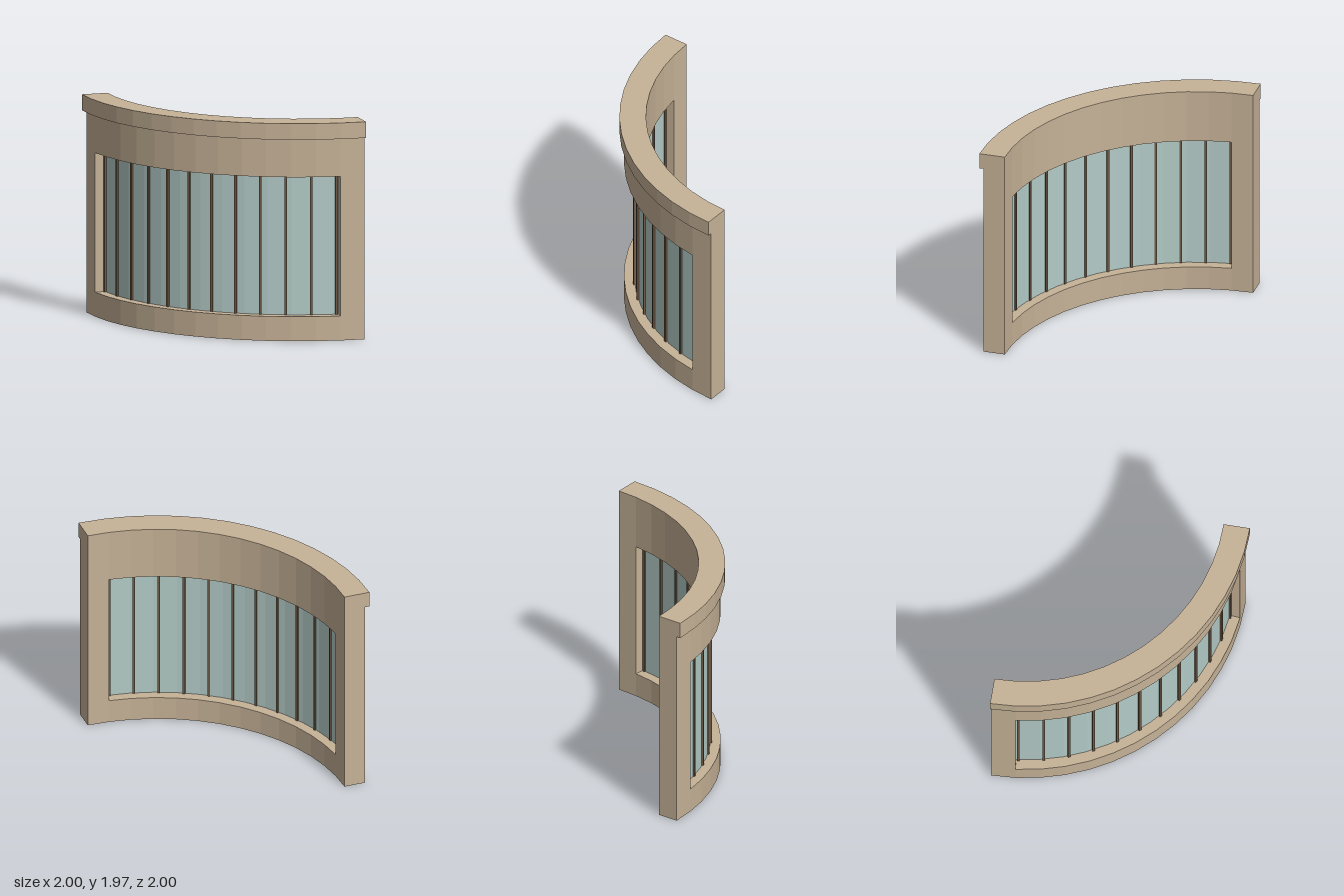
import * as THREE from 'three';

const SEGMENTS = 14;
const STEP = Math.PI / 2 / SEGMENTS;
const R_IN = 1.765, R_WALL = 1.96, R_CORNICE = 2.0, R_GLASS = 1.862;
const SILL = 0.22, HEAD = 1.475, WALL_TOP = 1.82, TOP = 1.965;

// Quarter circle about (1, -1), from the +x end round to the -z end
const point = ([r, y], i) => [
  1 - r * Math.sin(i * STEP), y, -1 + r * Math.cos(i * STEP),
];

const rect = (r0, r1, y0, y1) => [[r0, y0], [r1, y0], [r1, y1], [r0, y1]];

function quad(out, a, b, c, d) {
  out.push(...a, ...b, ...c, ...a, ...c, ...d);
}

// Sweep a path of [radius, height] points through faceted arc segments
function sweep(out, path, from, to) {
  for (let i = from; i < to; i++) {
    for (let k = 0; k < path.length - 1; k++) {
      const a = path[k], b = path[k + 1];
      quad(out, point(a, i), point(b, i), point(b, i + 1), point(a, i + 1));
    }
  }
}

// Flat radial face; forward faces look along the sweep direction
function radialFace(out, corners, i, forward) {
  const pts = corners.map((c) => point(c, i));
  quad(out, ...(forward ? pts : pts.reverse()));
}

function facetedMesh(name, positions, material) {
  const geometry = new THREE.BufferGeometry();
  geometry.setAttribute('position', new THREE.Float32BufferAttribute(positions, 3));
  geometry.computeVertexNormals();
  const mesh = new THREE.Mesh(geometry, material);
  mesh.name = name;
  return mesh;
}

export function createModel() {
  const stone = new THREE.MeshStandardMaterial({ color: 0xc6b297 });
  stone.name = 'sandstone';
  const glass = new THREE.MeshStandardMaterial({ color: 0xb3cbc7 });
  glass.name = 'pale glass';
  const bronze = new THREE.MeshStandardMaterial({ color: 0x6e5a45 });
  bronze.name = 'bronze';

  const model = new THREE.Group();
  model.name = 'curvedWindowWall';
  const last = SEGMENTS - 1;

  // Wall: solid end segments, sill and head bands between them
  const wall = [];
  const solid = [[R_IN, WALL_TOP], [R_IN, 0], [R_WALL, 0], [R_WALL, WALL_TOP]];
  sweep(wall, solid, 0, 1);
  sweep(wall, solid, last, SEGMENTS);
  const sill = rect(R_IN, R_WALL, 0, SILL);
  sweep(wall, [...sill, sill[0]], 1, last);
  sweep(wall, [[R_IN, WALL_TOP], [R_IN, HEAD], [R_WALL, HEAD], [R_WALL, WALL_TOP]], 1, last);
  radialFace(wall, rect(R_IN, R_WALL, 0, WALL_TOP), 0, false);
  radialFace(wall, rect(R_IN, R_WALL, 0, WALL_TOP), SEGMENTS, true);
  // Window jambs
  radialFace(wall, rect(R_IN, R_WALL, SILL, HEAD), 1, true);
  radialFace(wall, rect(R_IN, R_WALL, SILL, HEAD), last, false);
  model.add(facetedMesh('wall', wall, stone));

  // Cornice overhanging the outer side
  const cornice = [];
  sweep(cornice, [
    [R_WALL, WALL_TOP], [R_CORNICE, WALL_TOP], [R_CORNICE, TOP], [R_IN, TOP], [R_IN, WALL_TOP],
  ], 0, SEGMENTS);
  const corniceEnd = rect(R_IN, R_CORNICE, WALL_TOP, TOP);
  radialFace(cornice, corniceEnd, 0, false);
  radialFace(cornice, corniceEnd, SEGMENTS, true);
  model.add(facetedMesh('cornice', cornice, stone));

  // Curved glazing, inner and outer faces
  const pane = [];
  sweep(pane, [[R_GLASS + 0.006, SILL], [R_GLASS + 0.006, HEAD]], 1, last);
  sweep(pane, [[R_GLASS - 0.006, HEAD], [R_GLASS - 0.006, SILL]], 1, last);
  model.add(facetedMesh('glazing', pane, glass));

  // Evenly spaced vertical mullions
  const mullions = new THREE.Group();
  mullions.name = 'mullions';
  const bar = new THREE.BoxGeometry(0.022, HEAD - SILL, 0.04);
  const count = 12;
  const start = THREE.MathUtils.degToRad(7.0);
  for (let k = 0; k < count; k++) {
    const angle = start + (Math.PI / 2 - 2 * start) * k / (count - 1);
    const mullion = new THREE.Mesh(bar, bronze);
    mullion.name = 'mullion';
    mullion.position.set(
      1 - R_GLASS * Math.sin(angle), (SILL + HEAD) / 2, -1 + R_GLASS * Math.cos(angle),
    );
    mullion.rotation.y = -angle;
    mullions.add(mullion);
  }
  model.add(mullions);

  return model;
}
